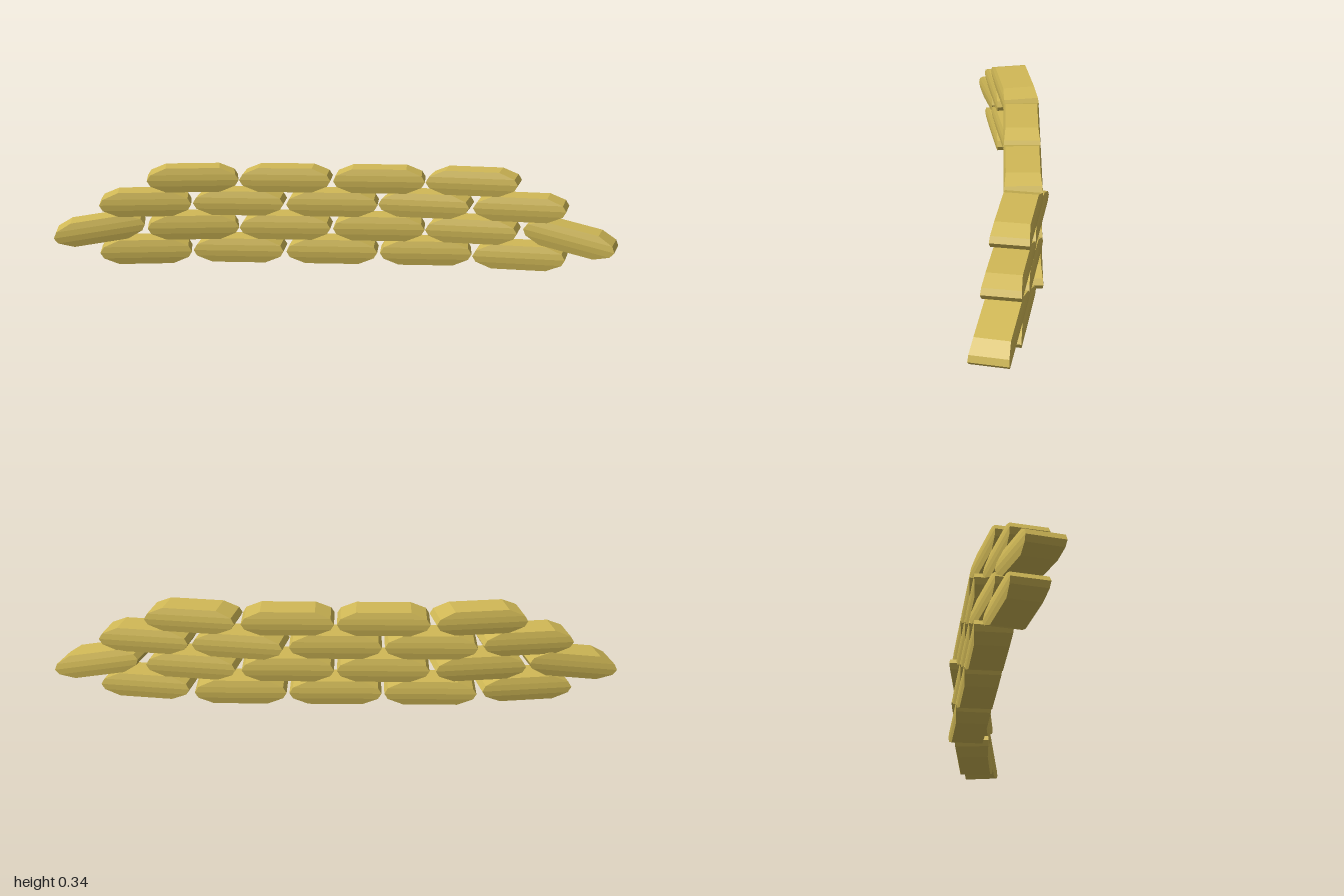
import * as THREE from 'three';

const BAG_HEIGHT = 0.085;
const SPACING = 0.332;
const OFFSET_X = -0.005;

// Sandbag: a block whose ends and sides swell towards mid-height
function makeBagGeometry() {
  const half = BAG_HEIGHT / 2;
  const levels = [ // y, half length, half depth
    [-half, 0.095, 0.058], [-0.02, 0.149, 0.063], [0, 0.161, 0.065],
    [0.02, 0.149, 0.063], [half, 0.095, 0.058],
  ];
  const geometry = new THREE.BoxGeometry(2, 4, 2, 1, 4, 1);
  const pos = geometry.attributes.position;
  for (let i = 0; i < pos.count; i++) {
    const [y, hx, hz] = levels[Math.round(pos.getY(i)) + 2];
    pos.setXYZ(i, pos.getX(i) * hx, y, pos.getZ(i) * hz);
  }
  geometry.computeVertexNormals();
  return geometry;
}

export function createModel() {
  const model = new THREE.Group();
  model.name = 'sandbagWall';
  const geometry = makeBagGeometry();
  const material = new THREE.MeshStandardMaterial({ color: 0xd1b956, flatShading: true });
  const rad = THREE.MathUtils.degToRad;

  function addBag(parent, name, x, y, z, yaw = 0, roll = 0) {
    const bag = new THREE.Mesh(geometry, material);
    bag.name = name;
    bag.position.set(x, y, z);
    bag.rotation.set(0, rad(yaw), rad(roll));
    parent.add(bag);
  }

  // Courses from the ground up, each a row of bags in running bond
  const counts = [5, 4, 5, 4];
  counts.forEach((count, row) => {
    const course = new THREE.Group();
    course.name = `course${row + 1}`;
    model.add(course);
    const y = (row + 0.5) * BAG_HEIGHT;
    for (let i = 0; i < count; i++) {
      const x = (i - (count - 1) / 2) * SPACING;
      const isEnd = i === 0 || i === count - 1;
      // End bags swing forward so that the wall curves
      const z = isEnd ? (count === 5 ? 0.0065 : -0.02) : -0.043;
      let yaw = isEnd ? -9 * Math.sign(x) : 0;
      if (row === 2 && i === 3) yaw = -9; // one bag knocked askew
      addBag(course, `bag${i + 1}`, x + OFFSET_X, y, z, yaw);
    }
  });

  // Slumped bags at the tips of the second course
  addBag(model, 'rightSlumpedBag', -0.831, 0.12, 0.03, 10, 8);
  addBag(model, 'leftSlumpedBag', 0.831, 0.113, 0.037, -12, -12);
  return model;
}
